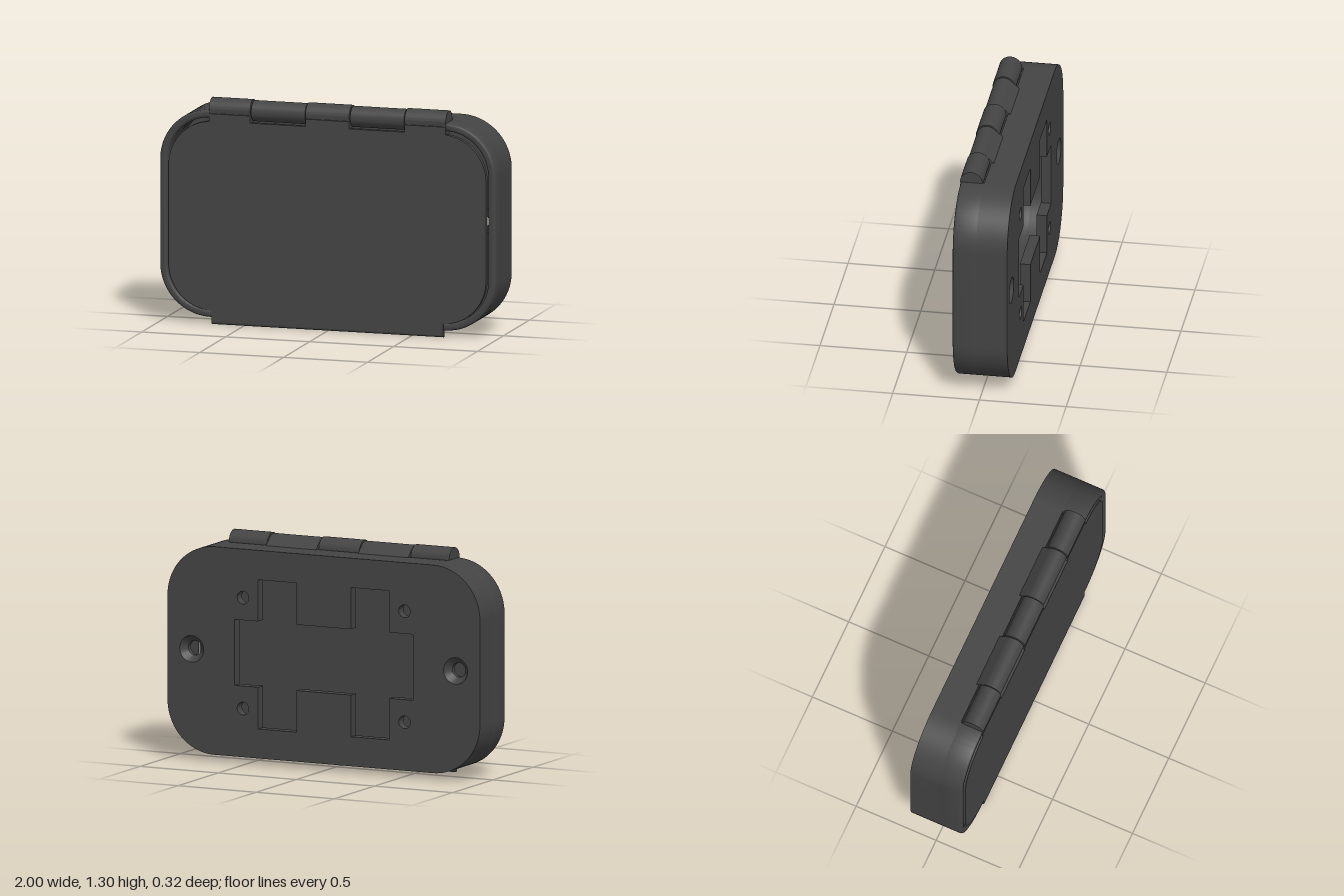
import * as THREE from 'three';
import { toCreasedNormals } from 'three/addons/utils/BufferGeometryUtils.js';

const material = new THREE.MeshStandardMaterial({ color: 0x444444, side: THREE.DoubleSide });
const MID = 0.64; // height of the case centre
const PI = Math.PI;

function add(parent, name, geometry) {
  const mesh = new THREE.Mesh(toCreasedNormals(geometry, 0.6), material);
  mesh.name = name;
  parent.add(mesh);
  return mesh;
}

// Extrude a front-facing outline from z0 to z1, optionally rounding its edges inward.
function slab(shape, z0, z1, bevel = 0) {
  return new THREE.ExtrudeGeometry(shape, {
    depth: z1 - z0 - 2 * bevel, curveSegments: 20, bevelEnabled: bevel > 0,
    bevelSize: bevel, bevelThickness: bevel, bevelOffset: -bevel, bevelSegments: 3,
  }).translate(0, 0, z0 + bevel);
}

// Rounded rectangle around the case centre
function roundedRect(path, w, h, r) {
  path.absarc(w - r, MID + h - r, r, 0, PI / 2);
  path.absarc(-w + r, MID + h - r, r, PI / 2, PI);
  path.absarc(-w + r, MID - h + r, r, PI, 1.5 * PI);
  path.absarc(w - r, MID - h + r, r, 1.5 * PI, 2 * PI);
  path.closePath();
  return path;
}

function circle(x, y, r) {
  return new THREE.Path().absarc(x, y, r, 0, 2 * PI);
}

// Extrude a (z, y) profile along x
function alongX(shape, x0, x1) {
  return new THREE.ExtrudeGeometry(shape, { depth: x1 - x0, bevelEnabled: false, curveSegments: 24 })
    .rotateY(-PI / 2).translate(x1, 0, 0);
}

function createBody() {
  const body = new THREE.Group();
  body.name = 'body';

  // Back wall with a stepped opening, four small holes and two screw holes
  const back = roundedRect(new THREE.Shape(), 1, 0.6, 0.3);
  const quarter = [[0.57, 0.19], [0.42, 0.19], [0.42, 0.43], [0.175, 0.43], [0.175, 0.19]];
  const mirrored = (sx, sy) => quarter.map(([x, y]) => new THREE.Vector2(sx * x, MID + sy * y));
  back.holes.push(new THREE.Path([
    ...mirrored(1, 1), ...mirrored(-1, 1).reverse(),
    ...mirrored(-1, -1), ...mirrored(1, -1).reverse(),
  ]));
  for (const sx of [-1, 1]) {
    for (const sy of [-1, 1]) back.holes.push(circle(sx * 0.517, MID + sy * 0.32, 0.037));
    back.holes.push(circle(sx * 0.845, MID, 0.077));
  }
  add(body, 'backWall', slab(back, -0.16, -0.1));

  // Countersunk seats in the screw holes
  for (const sx of [-1, 1]) {
    const profile = [[0.077, 0], [0.042, 0.04], [0.042, 0.07], [0.077, 0.07]];
    const seat = new THREE.LatheGeometry(profile.map(([r, y]) => new THREE.Vector2(r, y)), 32);
    add(body, 'screwSeat', seat.rotateX(PI / 2).translate(sx * 0.845, MID, -0.16));
  }

  // Closed side wall
  const wall = roundedRect(new THREE.Shape(), 1, 0.6, 0.3);
  wall.holes.push(roundedRect(new THREE.Path(), 0.955, 0.555, 0.255));
  add(body, 'sideWall', slab(wall, -0.1, 0.02));

  // Front rim, open along the top for the hinge
  const rim = new THREE.Shape();
  rim.absarc(-0.7, 0.94, 0.3, PI / 2, PI);
  rim.absarc(-0.7, 0.34, 0.3, PI, 1.5 * PI);
  rim.absarc(0.7, 0.34, 0.3, 1.5 * PI, 2 * PI);
  rim.absarc(0.7, 0.94, 0.3, 0, PI / 2);
  rim.absarc(0.7, 0.94, 0.255, PI / 2, 0, true);
  rim.absarc(0.7, 0.34, 0.255, 0, -PI / 2, true);
  rim.absarc(-0.7, 0.34, 0.255, 1.5 * PI, PI, true);
  rim.absarc(-0.7, 0.94, 0.255, PI, PI / 2, true);
  rim.closePath();
  add(body, 'frontRim', slab(rim, 0, 0.156, 0.014));

  // Body knuckles: barrel with a ramp down to the top wall
  const knuckle = new THREE.Shape();
  knuckle.moveTo(0, 1.236);
  knuckle.lineTo(0.015, 1.2);
  knuckle.lineTo(0.045, 1.2);
  knuckle.absarc(0.095, 1.24, 0.06, 1.22 * PI, 2.75 * PI);
  knuckle.closePath();
  for (const x of [-0.455, 0.135]) add(body, 'bodyKnuckle', alongX(knuckle, x, x + 0.32));
  return body;
}

function createLid() {
  const lid = new THREE.Group();
  lid.name = 'lid';

  // Plate with a tab at the bottom and a hinge edge notched around the body knuckles
  const plate = new THREE.Shape();
  plate.moveTo(-0.69, 0.016);
  plate.lineTo(0.69, 0.016);
  plate.lineTo(0.69, 0.08);
  plate.absarc(0.685, 0.34, 0.26, -PI / 2, 0);
  plate.absarc(0.685, 0.915, 0.26, 0, PI / 2);
  for (const [x, y] of [[0.705, 1.175], [0.705, 1.22], [0.46, 1.22], [0.46, 1.178], [0.13, 1.178], [0.13, 1.22],
    [-0.13, 1.22], [-0.13, 1.178], [-0.46, 1.178], [-0.46, 1.22], [-0.705, 1.22], [-0.705, 1.175]]) plate.lineTo(x, y);
  plate.absarc(-0.685, 0.915, 0.26, PI / 2, PI);
  plate.absarc(-0.685, 0.34, 0.26, PI, 1.5 * PI);
  plate.lineTo(-0.69, 0.08);
  plate.closePath();
  add(lid, 'lidPlate', slab(plate, 0.128, 0.16));

  // Rounded lower edge of the tab
  add(lid, 'tabEdge', new THREE.CylinderGeometry(0.016, 0.016, 1.38, 20)
    .rotateZ(PI / 2).translate(0, 0.016, 0.144));

  // Lid knuckles: barrel running straight down into the plate
  const knuckle = new THREE.Shape();
  knuckle.moveTo(0.16, 1.17);
  knuckle.absarc(0.095, 1.24, 0.065, 0, 1.5 * PI);
  knuckle.lineTo(0.128, 1.17);
  knuckle.closePath();
  for (const [x0, x1] of [[-0.705, -0.46], [-0.13, 0.13], [0.46, 0.705]]) {
    add(lid, 'lidKnuckle', alongX(knuckle, x0, x1));
  }

  // Hinge pin
  add(lid, 'hingePin', new THREE.CylinderGeometry(0.025, 0.025, 1.38, 16)
    .rotateZ(PI / 2).translate(0, 1.24, 0.095));
  return lid;
}

export function createModel() {
  const model = new THREE.Group();
  model.name = 'hingedCase';
  model.add(createBody(), createLid());
  return model;
}
